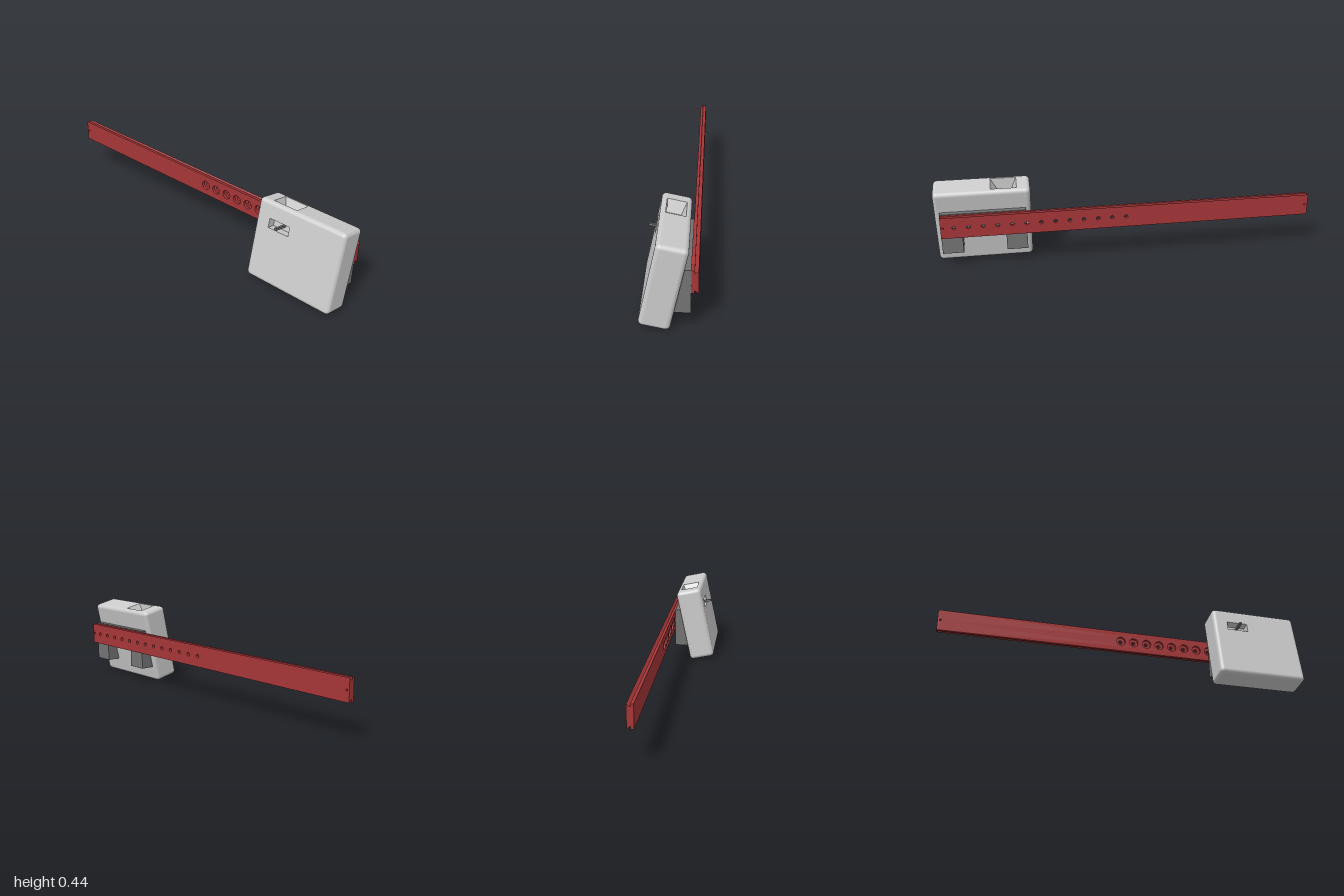
import * as THREE from 'three';
import { RoundedBoxGeometry } from 'three/addons/geometries/RoundedBoxGeometry.js';

const W = 0.147, H = 0.429, D = 0.5, R = 0.022;   // tilted housing
const RAIL_Y = 0.244, Z_FRONT = 0.97, Z_BACK = -1;

const mat = (color) => new THREE.MeshStandardMaterial({ color, side: THREE.DoubleSide });
const grey = mat(0xcccccc), dark = mat(0x737373), red = mat(0xa63638);

function add(parent, name, geometry, material) {
  const mesh = new THREE.Mesh(geometry, material);
  mesh.name = name;
  parent.add(mesh);
  return mesh;
}

// Counter-clockwise corners of a rectangle [u0, v0, u1, v1]
const corners = ([u0, v0, u1, v1]) => [[u0, v0], [u1, v0], [u1, v1], [u0, v1]];
const rectShape = (r) => new THREE.Shape(corners(r).map(([u, v]) => new THREE.Vector2(u, v)));

// Rounded box with the flat panels on the top and on the -x side left open
function openShell() {
  const source = new RoundedBoxGeometry(W, H, D, 5, R);
  const p = source.attributes.position, n = source.attributes.normal;
  const pos = [], nor = [];
  for (let i = 0; i < p.count; i += 3) {
    const tri = [i, i + 1, i + 2];
    const top = tri.every((k) => p.getY(k) > H / 2 - 1e-5);
    const side = tri.every((k) => p.getX(k) < -W / 2 + 1e-5);
    if (top || side) continue;
    for (const k of tri) {
      pos.push(p.getX(k), p.getY(k), p.getZ(k));
      nor.push(n.getX(k), n.getY(k), n.getZ(k));
    }
  }
  const g = new THREE.BufferGeometry();
  g.setAttribute('position', new THREE.Float32BufferAttribute(pos, 3));
  g.setAttribute('normal', new THREE.Float32BufferAttribute(nor, 3));
  return g;
}

// Flat panel with a hole, facing +z
function panel(w, h, hole) {
  const shape = rectShape([-w / 2, -h / 2, w / 2, h / 2]);
  shape.holes.push(rectShape(hole));
  return new THREE.ShapeGeometry(shape);
}

// Walls and floor of a recess sinking from z = 0 to z = -depth
function recess(outer, inner, depth) {
  const a = corners(outer).map(([u, v]) => [u, v, 0]);
  const b = corners(inner).map(([u, v]) => [u, v, -depth]);
  const pos = [];
  const quad = (p, q, r, s) => pos.push(...p, ...q, ...r, ...p, ...r, ...s);
  for (let i = 0; i < 4; i++) {
    const j = (i + 1) % 4;
    quad(a[i], a[j], b[j], b[i]);
  }
  quad(...b);
  const g = new THREE.BufferGeometry();
  g.setAttribute('position', new THREE.Float32BufferAttribute(pos, 3));
  g.computeVertexNormals();
  return g;
}

function createHousing() {
  const housing = new THREE.Group();
  housing.name = 'housing';
  add(housing, 'housingShell', openShell(), grey);

  // Funnel in the top
  const mouth = [-0.049, 0.045, 0.047, 0.18];
  const place = (g) => g.rotateX(-Math.PI / 2).translate(0, H / 2, 0);
  add(housing, 'topPanel', place(panel(W - 2 * R, D - 2 * R, mouth)), grey);
  add(housing, 'funnel', place(recess(mouth, [-0.036, 0.08, 0.031, 0.155], 0.06)), grey);

  // Slot with a lever in the side
  const slot = [-0.17, 0.078, -0.05, 0.128];
  const placeSide = (g) => g.rotateY(-Math.PI / 2).translate(-W / 2, 0, 0);
  add(housing, 'sidePanel', placeSide(panel(D - 2 * R, H - 2 * R, slot)), grey);
  add(housing, 'slot', placeSide(recess(slot, slot, 0.045)), grey);
  add(housing, 'lever', new THREE.BoxGeometry(0.085, 0.012, 0.012), dark)
    .position.set(-W / 2 + 0.0055, 0.103, -0.105);

  housing.position.set(-0.023, 0.221, 0.75);
  housing.rotation.z = -THREE.MathUtils.degToRad(12);
  return housing;
}

// Wedge between the tilted housing and the rail: crossbar on two legs
function createBracket() {
  const bracket = new THREE.Group();
  bracket.name = 'bracket';
  const innerX = (y) => 0.019 + (y - 0.083) * 0.2126;
  const wedge = (name, y0, y1, z0, z1) => {
    const shape = new THREE.Shape([[innerX(y0), y0], [0.1, y0], [0.1, y1], [innerX(y1), y1]]
      .map(([x, y]) => new THREE.Vector2(x, y)));
    const g = new THREE.ExtrudeGeometry(shape, { depth: z1 - z0, bevelEnabled: false });
    add(bracket, name, g.translate(0, 0, z0), dark);
  };
  wedge('crossbar', 0.2, 0.306, 0.637, 0.863);
  wedge('backLeg', 0.083, 0.306, 0.527, 0.637);
  wedge('frontLeg', 0.083, 0.306, 0.863, 0.972);
  return bracket;
}

// Rail plate extruded along x, with a row of holes
function railPlate(halfHeight, depth, holeRadius) {
  const shape = rectShape([-Z_FRONT, -halfHeight, -Z_BACK, halfHeight]);
  const punch = (z, r) => {
    const hole = new THREE.Path();
    hole.absarc(-z, 0, r, 0, Math.PI * 2, true);
    shape.holes.push(hole);
  };
  for (let i = 0; i < 13; i++) punch(0.005 + i * 0.0747, holeRadius);
  punch(0.957, 0.005);
  punch(-0.985, 0.005);
  return new THREE.ExtrudeGeometry(shape, { depth, bevelEnabled: false, curveSegments: 24 })
    .rotateY(Math.PI / 2);
}

function createRail() {
  const rail = new THREE.Group();
  rail.name = 'rail';
  add(rail, 'railBase', railPlate(0.058, 0.015, 0.025), red).position.x = 0.1;

  // Outer strip flares to the full height, leaving a V groove on each edge
  const g = railPlate(0.043, 0.018, 0.01);
  const p = g.attributes.position;
  for (let i = 0; i < p.count; i++) {
    const y = p.getY(i);
    if (p.getX(i) > 0.01 && Math.abs(y) > 0.04) p.setY(i, Math.sign(y) * 0.058);
  }
  g.computeVertexNormals();
  add(rail, 'railDovetail', g, red).position.x = 0.115;
  rail.position.y = RAIL_Y;
  return rail;
}

export function createModel() {
  const model = new THREE.Group();
  model.name = 'railMountedDispenser';
  model.add(createHousing(), createBracket(), createRail());
  return model;
}
